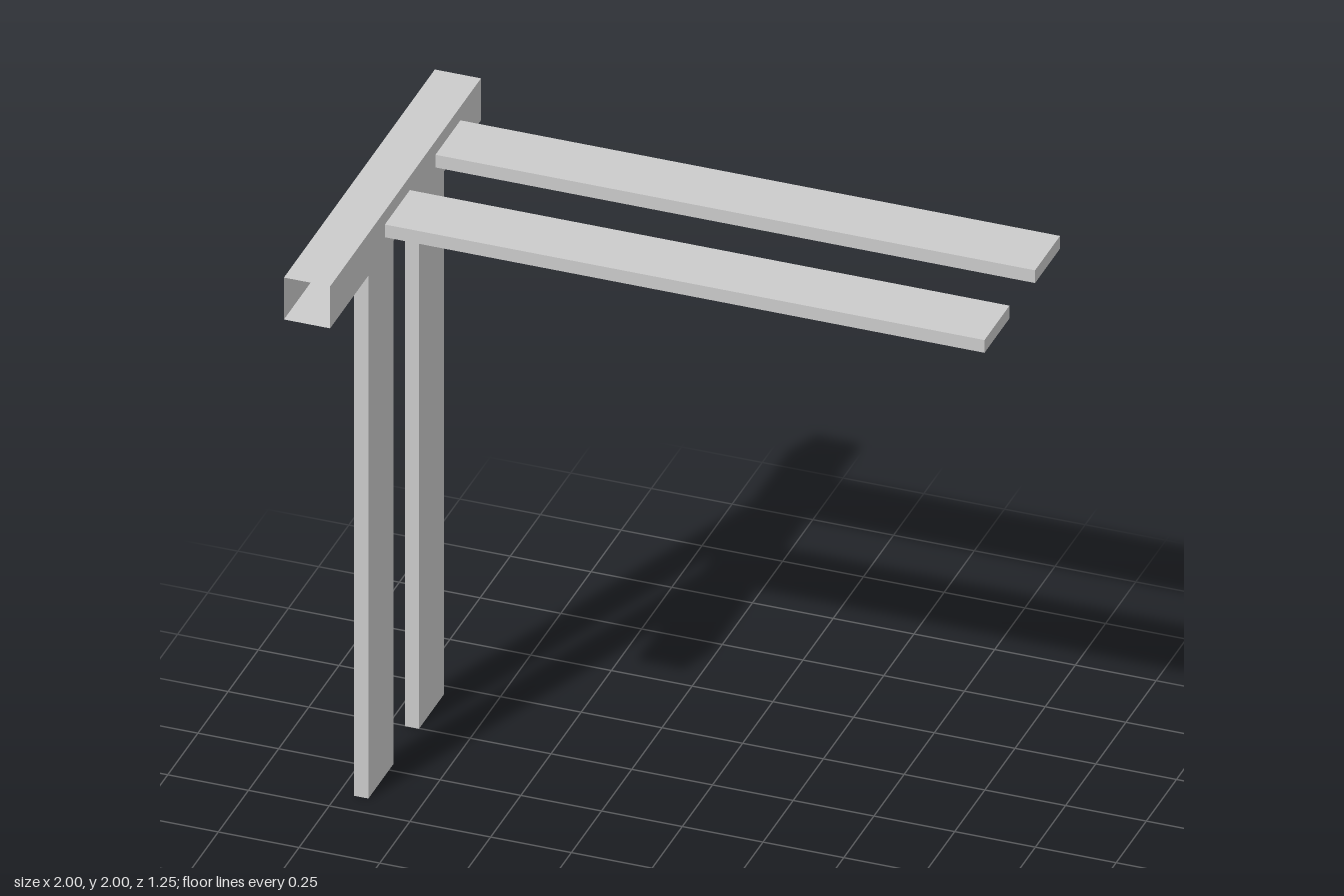
import * as THREE from 'three';

const grey = new THREE.MeshStandardMaterial({ color: 0xcccccc, flatShading: true });
const greyOpen = new THREE.MeshStandardMaterial({ color: 0xcccccc, flatShading: true, side: THREE.DoubleSide });

// Box given by its minimum and maximum corners
function box(name, min, max, material = grey) {
  const size = max.map((v, i) => v - min[i]);
  const mesh = new THREE.Mesh(new THREE.BoxGeometry(...size), material);
  mesh.position.set(...max.map((v, i) => (v + min[i]) / 2));
  mesh.name = name;
  return mesh;
}

export function createModel() {
  const group = new THREE.Group();
  group.name = 'beamWithPlanks';

  // Hollow beam, open at its front (+z) end
  const beam = box('beam', [-1, 1.858, -0.625], [-0.857, 2, 0.625], greyOpen);
  const index = Array.from(beam.geometry.index.array);
  index.splice(24, 6); // drop the +z face
  beam.geometry.setIndex(index);
  beam.geometry.clearGroups();
  group.add(beam);

  // Two matching pairs: an upright plank below and a level plank to the side
  const width = 0.207;
  [['front', 0.068], ['back', -0.351]].forEach(([side, z]) => {
    const z0 = z - width / 2, z1 = z + width / 2;
    group.add(box(side + 'Leg', [-0.952, 0, z0], [-0.908, 1.876, z1]));
    group.add(box(side + 'Arm', [-0.876, 1.911, z0], [1, 1.954, z1]));
  });

  return group;
}
